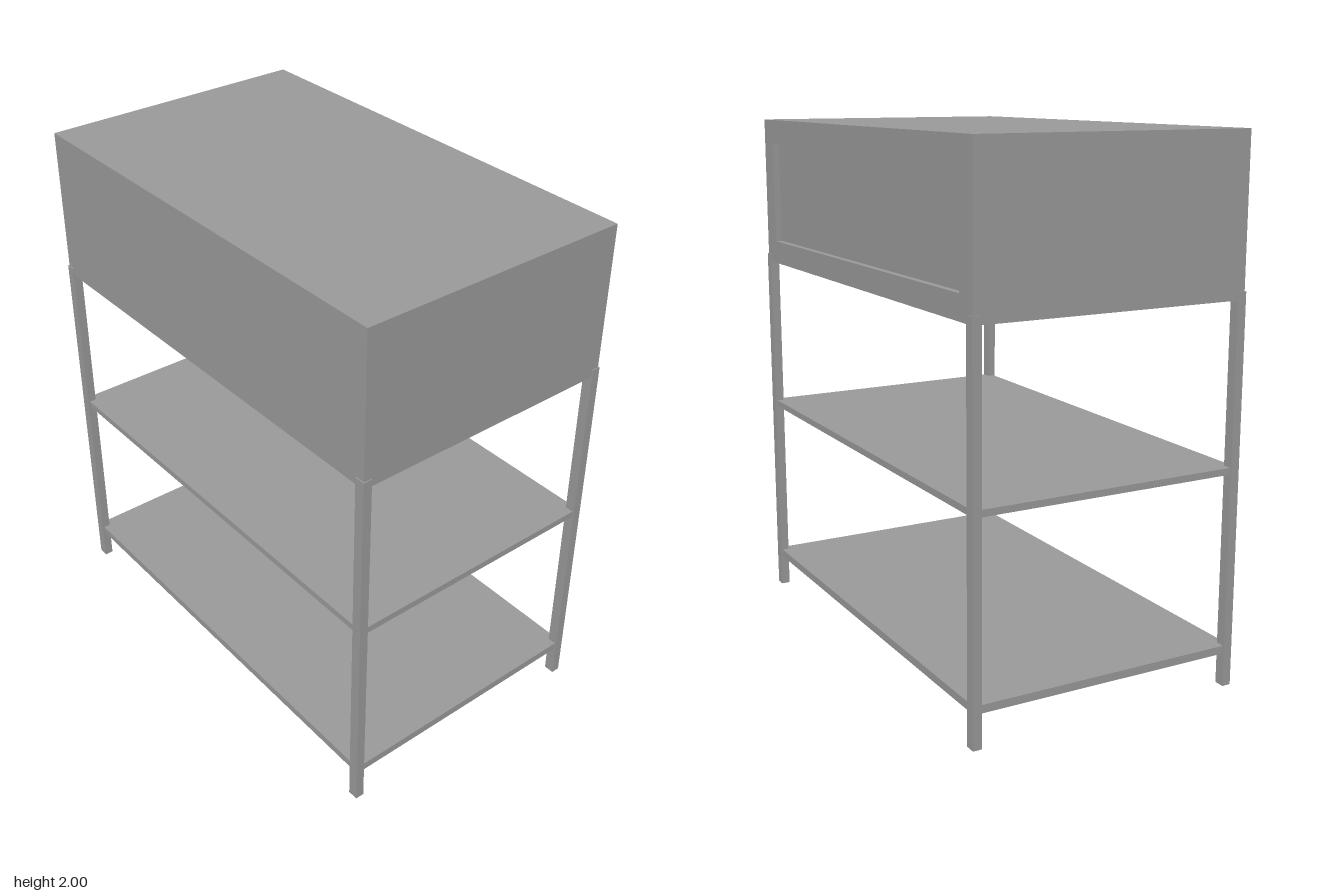
import * as THREE from 'three';

export function createModel() {
  const model = new THREE.Group();
  const grey = new THREE.MeshStandardMaterial({ color: 0x999999 });
  grey.name = 'grey metal';

  // Adds a box given by its lower and upper corners
  function addBox(name, [x0, y0, z0], [x1, y1, z1]) {
    const mesh = new THREE.Mesh(new THREE.BoxGeometry(x1 - x0, y1 - y0, z1 - z0), grey);
    mesh.position.set((x0 + x1) / 2, (y0 + y1) / 2, (z0 + z1) / 2);
    mesh.name = name;
    model.add(mesh);
  }

  const X = 0.895, Z = 0.53, bottom = 1.42, top = 2, recess = 0.025;

  // Cabinet body, set in behind the recessed back frame
  addBox('cabinet', [-X, bottom, -Z + recess], [X, top, Z]);

  // Frame round the shallow recess in the back
  const frame = new THREE.Shape();
  frame.moveTo(-X, bottom).lineTo(X, bottom).lineTo(X, top).lineTo(-X, top).closePath();
  const hole = new THREE.Path();
  const m = 0.09;
  hole.moveTo(-X + m, bottom + m).lineTo(-X + m, top - m).lineTo(X - m, top - m).lineTo(X - m, bottom + m).closePath();
  frame.holes.push(hole);
  const backFrame = new THREE.Mesh(
    new THREE.ExtrudeGeometry(frame, { depth: recess, bevelEnabled: false }), grey);
  backFrame.position.z = -Z;
  backFrame.name = 'backFrame';
  model.add(backFrame);

  // Shelves
  addBox('lowerShelf', [-0.893, 0.125, -0.527], [0.893, 0.155, 0.527]);
  addBox('upperShelf', [-0.893, 0.8, -0.527], [0.893, 0.825, 0.527]);

  // Square legs, lapping slightly over the cabinet corners
  for (const sx of [-1, 1]) {
    for (const sz of [-1, 1]) {
      const leg = new THREE.Mesh(new THREE.BoxGeometry(0.04, 1.45, 0.034), grey);
      leg.position.set(sx * 0.879, 0.725, sz * 0.517);
      leg.name = (sz > 0 ? 'front' : 'back') + (sx > 0 ? 'Left' : 'Right') + 'Leg';
      model.add(leg);
    }
  }
  return model;
}
